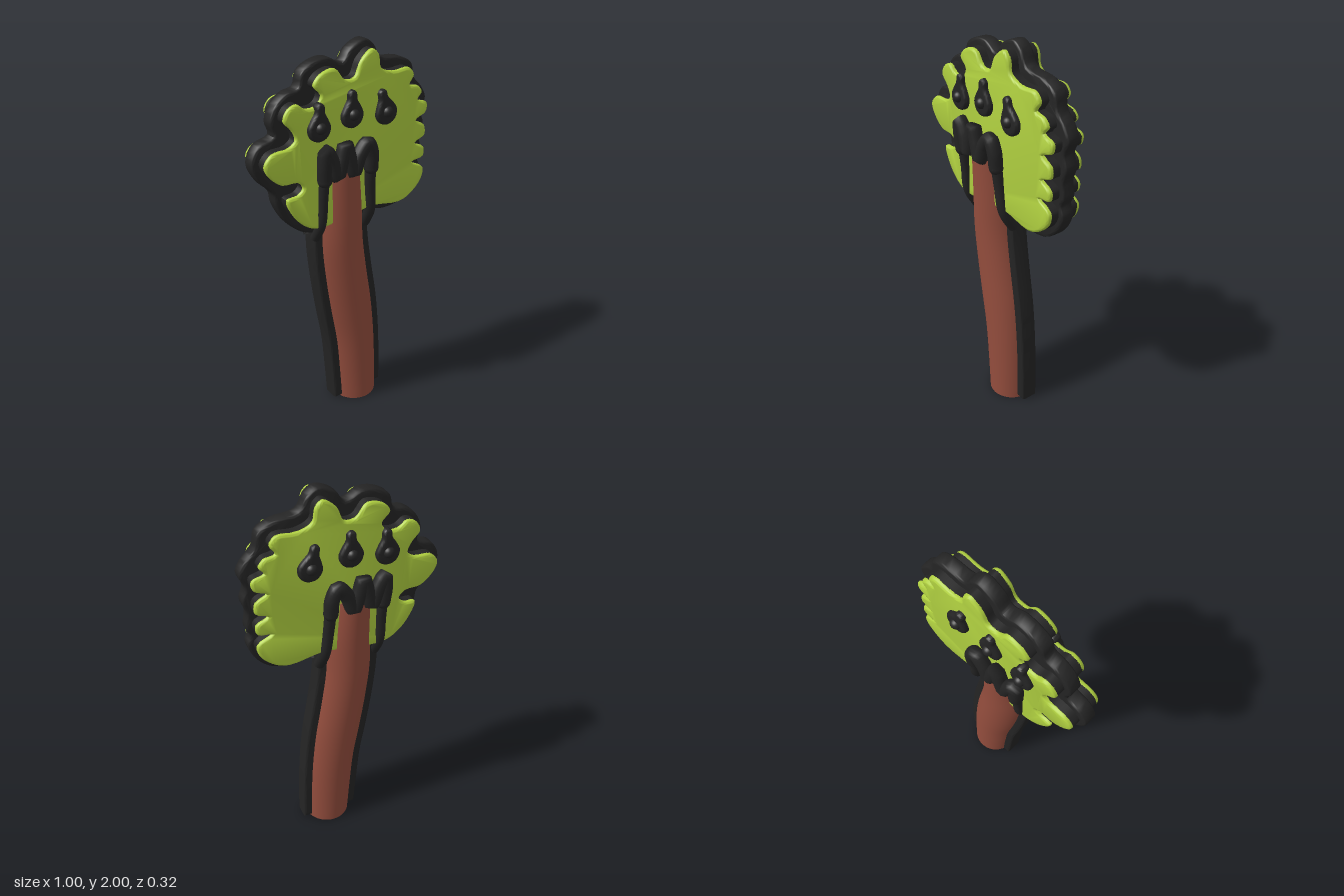
import * as THREE from 'three';
import { toCreasedNormals } from 'three/addons/utils/BufferGeometryUtils.js';

const material = (name, color) => {
  const m = new THREE.MeshStandardMaterial({ color });
  m.name = name;
  return m;
};

// Smooth closed shape through flat x, y pairs
function blob(flat, divisions) {
  const pts = [];
  for (let i = 0; i < flat.length; i += 2) pts.push(new THREE.Vector3(flat[i], flat[i + 1], 0));
  const curve = new THREE.CatmullRomCurve3(pts, true, 'centripetal');
  const outline = curve.getPoints(pts.length * divisions).slice(0, -1);
  return new THREE.Shape(outline.map(p => new THREE.Vector2(p.x, p.y)));
}

// Slab from z0 to z1 with rounded rims that stay inside the outline
function slab(shape, z0, z1, round) {
  const g = new THREE.ExtrudeGeometry(shape, {
    depth: z1 - z0 - 2 * round, bevelEnabled: round > 0, bevelThickness: round,
    bevelSize: round, bevelOffset: -round, bevelSegments: 4, curveSegments: 8,
  });
  g.translate(0, 0, z0 + round);
  return toCreasedNormals(g, 0.8);
}

function add(parent, name, geometry, mat) {
  const mesh = new THREE.Mesh(geometry, mat);
  mesh.name = name;
  parent.add(mesh);
  return mesh;
}

function tube(points, radius) {
  const curve = new THREE.CatmullRomCurve3(points.map(p => new THREE.Vector3(...p)));
  return new THREE.TubeGeometry(curve, 80, radius, 14, false);
}

const RIM = [
  -.185, 1.09, -.31, 1.165, -.385, 1.29, -.40, 1.36, -.465, 1.43, -.505, 1.525,
  -.465, 1.605, -.385, 1.635, -.40, 1.70, -.37, 1.775, -.31, 1.82, -.25, 1.835,
  -.23, 1.90, -.16, 1.94, -.085, 1.945, -.01, 1.91, .035, 1.965, .12, 1.998,
  .17, 1.965, .21, 1.90, .33, 1.88, .40, 1.84, .42, 1.765, .47, 1.71,
  .50, 1.65, .475, 1.58, .495, 1.515, .475, 1.445, .485, 1.365, .467, 1.325,
  .485, 1.275, .445, 1.18, .365, 1.115, .25, 1.10, .125, 1.13, -.02, 1.12,
];
const LEAF = [
  -.185, 1.14, -.25, 1.165, -.32, 1.235, -.36, 1.335, -.30, 1.345, -.27, 1.375,
  -.30, 1.41, -.385, 1.42, -.455, 1.485, -.47, 1.535, -.43, 1.58, -.34, 1.59,
  -.305, 1.62, -.325, 1.67, -.365, 1.72, -.34, 1.77, -.295, 1.785, -.25, 1.755,
  -.19, 1.76, -.165, 1.80, -.205, 1.85, -.17, 1.895, -.09, 1.91, -.035, 1.85,
  .02, 1.85, .055, 1.92, .12, 1.965, .155, 1.935, .17, 1.87, .24, 1.84,
  .34, 1.84, .37, 1.80, .345, 1.755, .40, 1.74, .425, 1.705, .40, 1.67,
  .46, 1.645, .455, 1.595, .395, 1.565, .45, 1.53, .455, 1.475, .395, 1.445,
  .455, 1.41, .45, 1.36, .38, 1.345, .455, 1.30, .445, 1.235, .37, 1.165,
  .30, 1.145, .13, 1.17, -.02, 1.15,
];
const DROP = [0, -.062, -.042, -.045, -.06, 0, -.043, .042, -.024, .075, -.02, .108,
  0, .12, .02, .108, .024, .075, .043, .042, .06, 0, .042, -.045];

// Trunk spine: centre x, y, half width
const TRUNK = new THREE.CatmullRomCurve3([
  [.09, 0, .12], [.08, .2, .126], [.065, .4, .13], [.037, .6, .137],
  [.005, .8, .135], [-.02, 1, .13], [-.025, 1.2, .122], [-.035, 1.43, .108],
].map(p => new THREE.Vector3(...p)));

function trunkGeometry() {
  const g = new THREE.CylinderGeometry(1, 1, 1, 40, 28);
  const pos = g.attributes.position;
  for (let i = 0; i < pos.count; i++) {
    const t = pos.getY(i) + 0.5;
    const s = TRUNK.getPoint(t);
    pos.setXYZ(i, s.x + pos.getX(i) * s.z, s.y, pos.getZ(i) * (0.122 + 0.016 * t * t));
  }
  g.computeVertexNormals();
  return g;
}

function trunkEdgeShape() {
  const left = [], right = [];
  for (let i = 0; i <= 28; i++) {
    const s = TRUNK.getPoint((i / 28) * 0.85);
    const w = s.z + 0.034;
    left.push(new THREE.Vector2(s.x - w, Math.max(s.y, 0.008)));
    right.unshift(new THREE.Vector2(s.x + w, Math.max(s.y, 0.008)));
  }
  return new THREE.Shape([...right, ...left]);
}

export function createModel() {
  const black = material('outline black', 0x242424);
  const green = material('leaf green', 0xb0d040);
  const brown = material('bark brown', 0x934d3d);

  const model = new THREE.Group();
  model.name = 'tree';

  // Trunk with a green underside and a dark edge down both sides
  add(model, 'trunk', trunkGeometry(), [brown, brown, green]);
  add(model, 'trunkEdge', slab(trunkEdgeShape(), -0.048, 0.048, 0.014), black);

  // Crown: dark core and wider dark rim
  const leaf = blob(LEAF, 4);
  add(model, 'crownCore', slab(leaf, -0.076, 0.076, 0), black);
  add(model, 'crownRim', slab(blob(RIM, 4), -0.036, 0.036, 0.014), black);

  // Everything on one broad side, mirrored for the other
  const leafGeo = slab(leaf, 0.06, 0.095, 0.014);
  const dropGeo = slab(blob(DROP, 4), 0.07, 0.122, 0.016);
  const knobGeo = new THREE.SphereGeometry(0.028, 20, 14);
  const jagGeo = tube([
    [-.17, 1.40, .115], [-.175, 1.48, .122], [-.168, 1.545, .125], [-.14, 1.50, .125],
    [-.105, 1.41, .125], [-.08, 1.49, .126], [-.06, 1.553, .126], [-.04, 1.49, .126],
    [-.012, 1.405, .125], [.025, 1.49, .125], [.068, 1.535, .125], [.095, 1.48, .122],
    [.1, 1.40, .115],
  ], 0.036);
  const flankLeft = tube([[-.172, 1.06, .03], [-.172, 1.16, .085], [-.17, 1.3, .1], [-.17, 1.42, .115]], 0.025);
  const flankRight = tube([[.128, 1.06, .03], [.12, 1.16, .085], [.106, 1.3, .1], [.099, 1.42, .115]], 0.028);
  const endGeo = new THREE.SphereGeometry(0.036, 16, 12);

  for (const side of [1, -1]) {
    const face = new THREE.Group();
    face.name = side > 0 ? 'frontFace' : 'backFace';
    face.scale.z = side;
    model.add(face);
    add(face, 'leaves', leafGeo, green);
    add(face, 'jaggedTrunkTop', jagGeo, black);
    add(face, 'trunkFlankRight', flankLeft, black);
    add(face, 'trunkFlankLeft', flankRight, black);
    for (const x of [-.17, .1]) add(face, 'jagEnd', endGeo, black).position.set(x, 1.40, .115);
    // Three hanging drops, each with a raised knob
    for (const [x, y, tilt] of [[-.19, 1.655, -.05], [-.007, 1.682, 0], [.192, 1.655, .25]]) {
      const drop = new THREE.Group();
      drop.name = 'drop';
      drop.position.set(x, y, 0);
      drop.rotation.z = tilt;
      add(drop, 'dropBody', dropGeo, black);
      add(drop, 'dropKnob', knobGeo, black).position.set(0, 0.005, 0.116);
      face.add(drop);
    }
  }
  return model;
}
